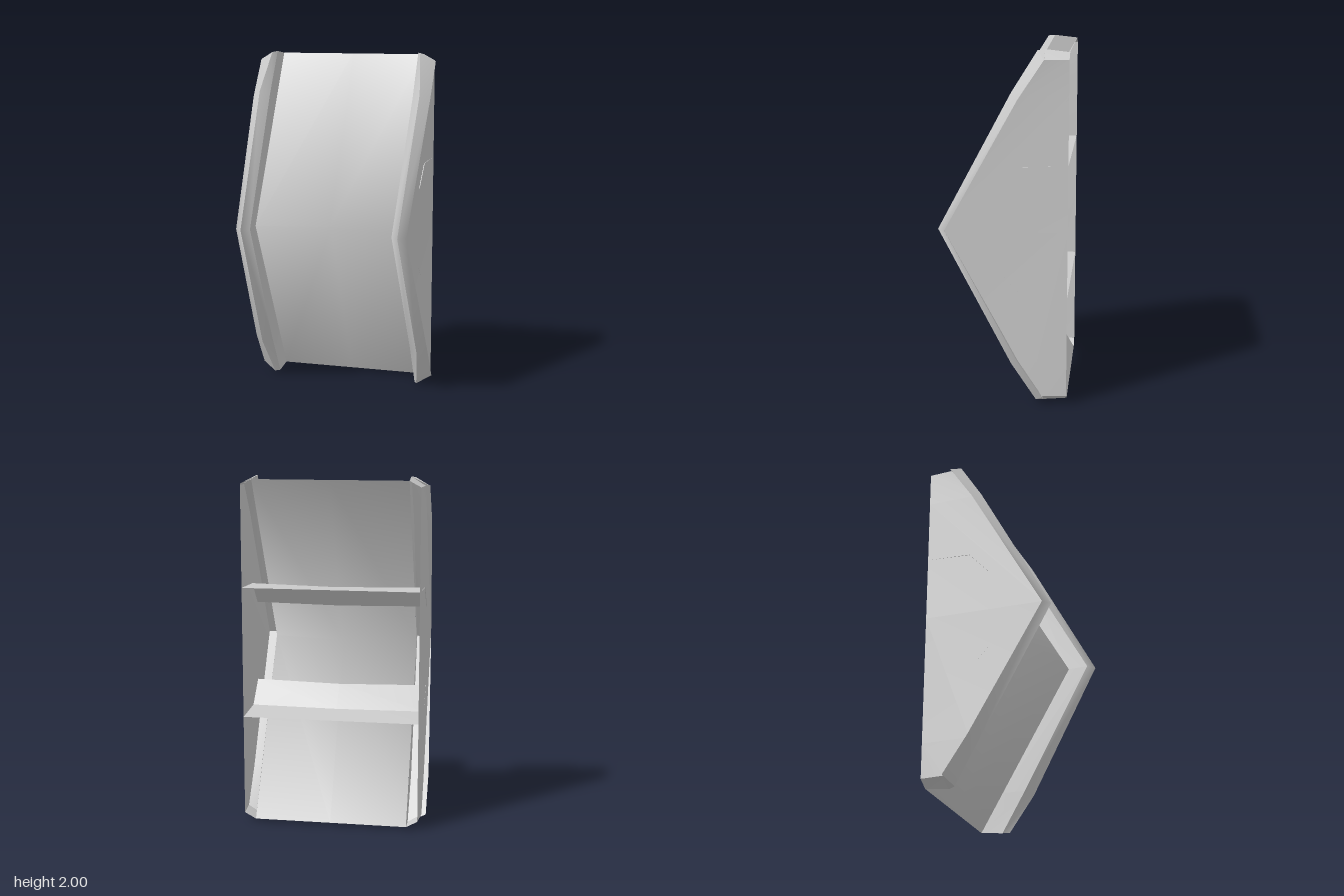
import * as THREE from 'three';
import { toCreasedNormals } from 'three/addons/utils/BufferGeometryUtils.js';

const material = new THREE.MeshStandardMaterial({ color: 0xcccccc, side: THREE.DoubleSide });

// Sheet skinned through rows of points; rows run upwards, points towards +x give a +z face
function sheet(name, rows, crease, flip = false) {
  const n = rows[0].length, index = [];
  for (let r = 0; r < rows.length - 1; r++) {
    for (let c = 0; c < n - 1; c++) {
      const a = r * n + c, b = a + 1, d = a + n, e = d + 1;
      index.push(...(flip ? [a, e, b, a, d, e] : [a, b, e, a, e, d]));
    }
  }
  let geo = new THREE.BufferGeometry();
  geo.setAttribute('position', new THREE.Float32BufferAttribute(rows.flat(2), 3));
  geo.setIndex(index);
  geo.computeVertexNormals();
  if (crease) geo = toCreasedNormals(geo, crease);
  const mesh = new THREE.Mesh(geo, material);
  mesh.name = name;
  return mesh;
}

// Completes rows listed from the top to the middle with their reflection about y = 1
function reflectY(rows) {
  const lower = rows.map(row => row.map(([x, y, z]) => [x, 2 - y, z]));
  return [...lower, ...rows.slice(0, -1).reverse()];
}

function createSide(s) {
  const side = new THREE.Group();
  side.name = s > 0 ? 'leftSide' : 'rightSide';
  const flip = s < 0;
  const mx = rows => rows.map(row => row.map(([x, y, z]) => [s * x, y, z]));
  const add = (name, rows, crease) => side.add(sheet(name, mx(rows), crease, flip));

  // Padded rail along the front edge: inner, ridge, outer, back to inner
  const rail = [
    [[0.435, 2, -0.23], [0.455, 1.995, -0.19], [0.54, 1.95, -0.23]],
    [[0.437, 1.75, -0.09], [0.487, 1.77, -0.05], [0.54, 1.74, -0.09]],
    [[0.42, 1, 0.32], [0.463, 1, 0.36], [0.505, 1, 0.32]],
  ].map(([a, b, c]) => [a, b, c, a]);
  add('rail', reflectY(rail), 0.8);
  const [a, b, c] = rail[0];
  const low = p => [p[0], 2 - p[1], p[2]];
  add('railTopEnd', [[a, b], [a, c]], 0.1);
  add('railBottomEnd', [[low(a), low(c)], [low(a), low(b)]], 0.1);

  // Outer wall, from the rail to the open back
  add('outerWall', reflectY([
    [[0.515, 1.95, -0.23], [0.505, 1.95, -0.365]],
    [[0.512, 1.75, -0.09], [0.505, 1.75, -0.365]],
    [[0.503, 1, 0.32], [0.505, 1, -0.365]],
  ]), 0.5);

  // Inner wall, between the panel and the rail
  add('innerWall', reflectY([
    [[0.44, 1.985, -0.365], [0.435, 2, -0.23]],
    [[0.438, 1.75, -0.233], [0.437, 1.75, -0.09]],
    [[0.43, 1, 0.2], [0.42, 1, 0.32]],
  ]), 0.5);

  // Sloped end caps between the two walls
  const cap = [
    [[0.435, 2, -0.23], [0.515, 1.95, -0.23]],
    [[0.44, 1.985, -0.365], [0.505, 1.95, -0.365]],
  ];
  add('topCap', cap, 0.1);
  add('bottomCap', cap.map(row => row.map(low)).reverse(), 0.1);
  return side;
}

export function createModel() {
  const model = new THREE.Group();
  model.name = 'foldedPanel';

  // Front panel, bent at mid-height and dished along its centre
  model.add(sheet('frontPanel', reflectY([
    [[-0.44, 1.985, -0.365], [0, 1.985, -0.365], [0.44, 1.985, -0.365]],
    [[-0.43, 1, 0.2], [0, 1, 0.107], [0.43, 1, 0.2]],
  ])));

  for (const s of [1, -1]) model.add(createSide(s));

  // Bent shelves across the back
  const shelf = [
    [[-0.505, 1.375, -0.365], [0, 1.375, -0.365], [0.505, 1.375, -0.365]],
    [[-0.508, 1.365, -0.11], [0, 1.36, -0.15], [0.508, 1.365, -0.11]],
    [[-0.507, 1.235, 0.01], [0, 1.235, -0.04], [0.507, 1.235, 0.01]],
  ];
  const lowerShelf = shelf.map(row => row.map(([x, y, z]) => [x, 2 - y, z]));
  model.add(sheet('upperShelf', shelf, 0.2, true));
  model.add(sheet('lowerShelf', lowerShelf, 0.2));
  return model;
}
